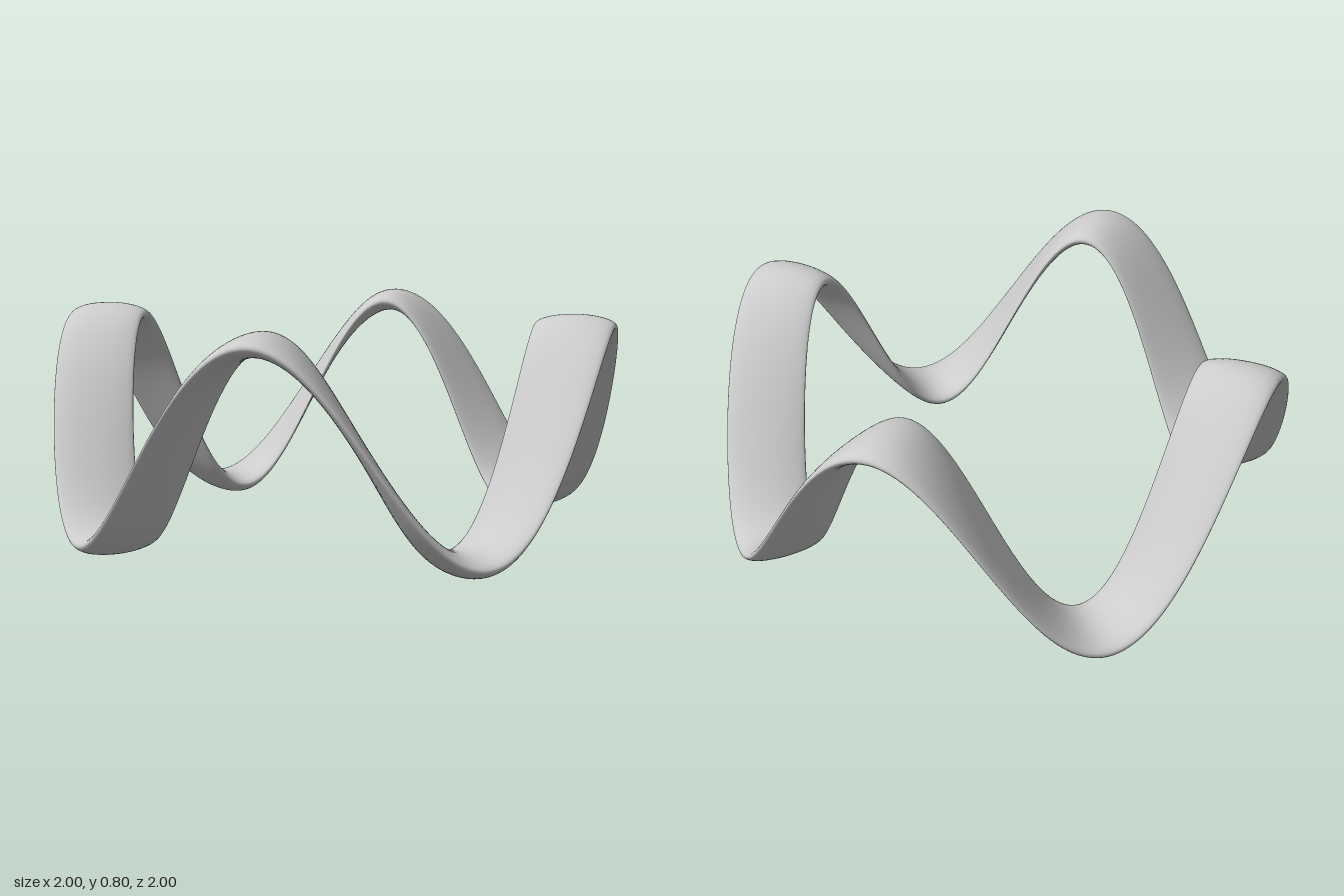
import * as THREE from 'three';
import { mergeVertices } from 'three/addons/utils/BufferGeometryUtils.js';

const RADIUS = 0.86;      // ring centreline
const HALF_WIDTH = 0.14;  // radial half width of the band
const HALF_THICK = 0.04;  // vertical half thickness
const WAVES = 4;
const AMPLITUDE = 0.36;
const MID_HEIGHT = 0.4;

// Flattened torus whose height follows a sine wave around the ring
function wavyRingGeometry() {
  const torus = new THREE.TorusGeometry(RADIUS, HALF_WIDTH, 40, 320);
  torus.rotateX(Math.PI / 2);
  const pos = torus.attributes.position;
  for (let i = 0; i < pos.count; i++) {
    const angle = Math.atan2(pos.getX(i), pos.getZ(i));
    const flat = pos.getY(i) * HALF_THICK / HALF_WIDTH;
    pos.setY(i, MID_HEIGHT + flat + AMPLITUDE * Math.sin(WAVES * angle));
  }
  // Weld the seams so the normals stay smooth all around
  torus.deleteAttribute('uv');
  torus.deleteAttribute('normal');
  const geometry = mergeVertices(torus, 1e-5);
  geometry.computeVertexNormals();
  return geometry;
}

export function createModel() {
  const group = new THREE.Group();
  group.name = 'wavyBangle';
  const material = new THREE.MeshStandardMaterial({ color: 0xcccccc });
  const ring = new THREE.Mesh(wavyRingGeometry(), material);
  ring.name = 'wavyRing';
  group.add(ring);
  return group;
}
